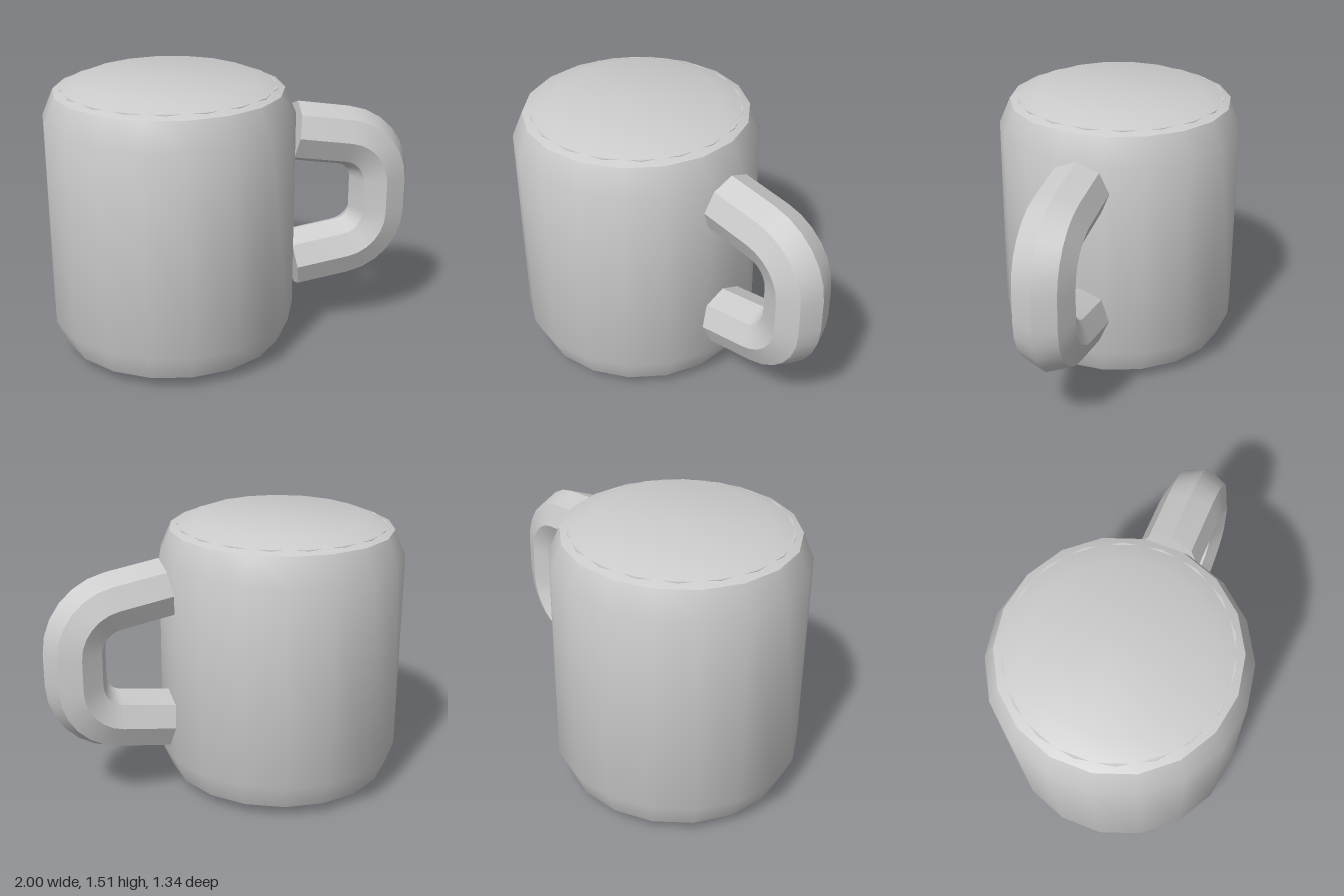
import * as THREE from 'three';
import { toCreasedNormals } from 'three/addons/utils/BufferGeometryUtils.js';

const CREASE = THREE.MathUtils.degToRad(32);
const SIDES = 18;
const BODY_X = -0.34;

// Sweeps a regular polygon along a path in the xy plane, with closed ends.
function sweep(points, tangents, radius, sides) {
  const positions = [];
  const index = [];
  points.forEach((p, i) => {
    const t = tangents[i];
    for (let j = 0; j < sides; j++) {
      const a = (j / sides) * Math.PI * 2;
      const n = radius * Math.cos(a);
      positions.push(p.x - t.y * n, p.y + t.x * n, radius * Math.sin(a));
    }
  });
  const last = points.length - 1;
  for (let i = 0; i < last; i++) {
    for (let j = 0; j < sides; j++) {
      const k = (j + 1) % sides;
      const a = i * sides + j, b = i * sides + k;
      index.push(a, b, b + sides, a, b + sides, a + sides);
    }
  }
  for (let j = 1; j < sides - 1; j++) {
    index.push(0, j + 1, j);
    index.push(last * sides, last * sides + j, last * sides + j + 1);
  }
  const geometry = new THREE.BufferGeometry();
  geometry.setAttribute('position', new THREE.Float32BufferAttribute(positions, 3));
  geometry.setIndex(index);
  return geometry;
}

export function createModel() {
  const group = new THREE.Group();
  const material = new THREE.MeshStandardMaterial({ color: 0xcccccc });
  const add = (name, geometry, x = 0, y = 0) => {
    const mesh = new THREE.Mesh(toCreasedNormals(geometry, CREASE), material);
    mesh.name = name;
    mesh.position.set(x, y, 0);
    group.add(mesh);
  };

  // Closed mug body with chamfered rims
  const profile = [
    [0, 0], [0.46, 0], [0.61, 0.06], [0.67, 0.2],
    [0.67, 1.31], [0.61, 1.45], [0.46, 1.51], [0, 1.51],
  ].map(([r, y]) => new THREE.Vector2(r, y));
  add('body', new THREE.LatheGeometry(profile, SIDES), BODY_X);

  // Inner core, turned half a side so its corners just touch the top bevel
  const core = new THREE.CylinderGeometry(0.57, 0.57, 1.42, SIDES);
  core.rotateY(Math.PI / SIDES);
  add('innerCore', core, BODY_X, 0.758);

  // Handle path: sloping arm, rounded corner, upright, then its mirror image
  const slope = THREE.MathUtils.degToRad(-9);
  const bend = 0.246;
  const cornerX = 0.833 - bend, cornerY = 0.887, midY = 0.8, steps = 6;
  const points = [new THREE.Vector2(0.335, 1.175)];
  const tangents = [new THREE.Vector2(Math.cos(slope), Math.sin(slope))];
  for (let i = 0; i <= steps; i++) {
    const a = THREE.MathUtils.lerp(slope, -Math.PI / 2, i / steps);
    const t = new THREE.Vector2(Math.cos(a), Math.sin(a));
    points.push(new THREE.Vector2(cornerX - t.y * bend, cornerY + t.x * bend));
    tangents.push(t);
  }
  for (let i = points.length - 1; i >= 0; i--) {
    points.push(new THREE.Vector2(points[i].x, 2 * midY - points[i].y));
    tangents.push(new THREE.Vector2(-tangents[i].x, tangents[i].y));
  }
  add('handle', sweep(points, tangents, 0.167, 8));

  return group;
}
